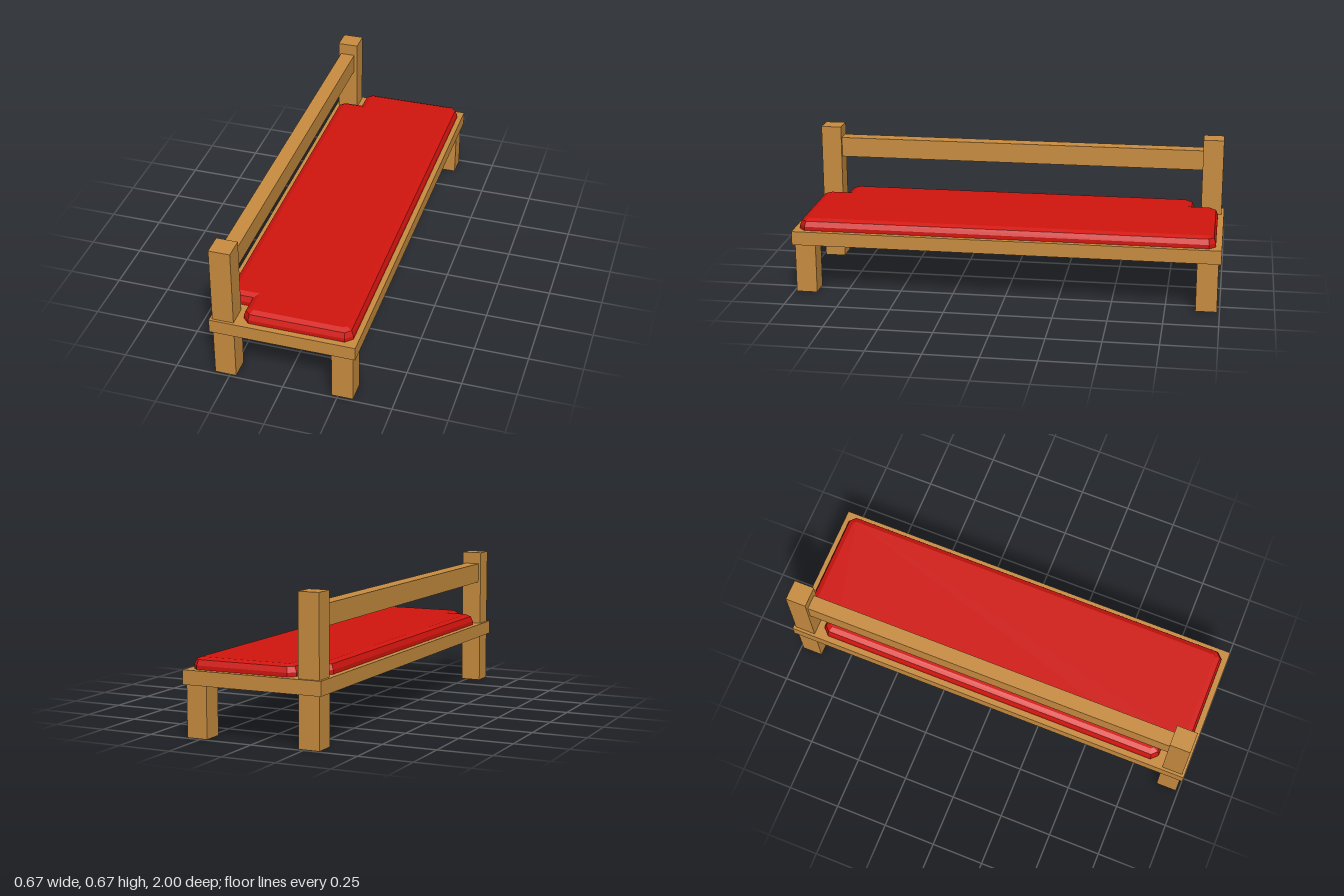
import * as THREE from 'three';

export function createModel() {
  const group = new THREE.Group();
  const wood = new THREE.MeshStandardMaterial({ color: 0xc98d40, flatShading: true });
  const fabric = new THREE.MeshStandardMaterial({ color: 0xd2150e, flatShading: true });

  // box given by its lower and upper limits on each axis
  const box = (name, [x0, x1], [y0, y1], [z0, z1]) => {
    const mesh = new THREE.Mesh(new THREE.BoxGeometry(x1 - x0, y1 - y0, z1 - z0), wood);
    mesh.position.set((x0 + x1) / 2, (y0 + y1) / 2, (z0 + z1) / 2);
    mesh.name = name;
    group.add(mesh);
  };

  // seat board
  box('seatBoard', [-0.333, 0.333], [0.235, 0.3], [-1, 1]);

  // legs, and the posts standing above the back pair
  for (const [end, z] of [['Front', [0.89, 0.988]], ['Back', [-0.988, -0.89]]]) {
    box('leftLeg' + end, [0.222, 0.32], [0, 0.235], z);
    box('rightLeg' + end, [-0.32, -0.222], [0, 0.235], z);
    box('railPost' + end, [-0.32, -0.222], [0.3, 0.668], z);
  }

  // backrest rail between the posts
  box('backRail', [-0.308, -0.238], [0.515, 0.611], [-0.89, 0.89]);

  // cushion outline: chamfered corners, notched around the posts
  const c = 0.03, right = 0.308, notch = -0.19, back = -0.305, end = 0.972, inner = 0.855;
  const half = [
    [right, end - c], [right - c, end], [notch + c, end], [notch, end - c],
    [notch, inner], [back + c, inner], [back, inner - c],
  ];
  const mirrored = half.map(([x, y]) => [x, -y]).reverse();
  const outline = new THREE.Shape([...half, ...mirrored].map(([x, y]) => new THREE.Vector2(x, y)));

  // the lower bevel is sunk into the seat board
  const bevel = 0.035;
  const cushionGeometry = new THREE.ExtrudeGeometry(outline, {
    depth: 0.022, bevelEnabled: true, bevelThickness: bevel,
    bevelSize: 0.033, bevelOffset: -0.033, bevelSegments: 2,
  });
  cushionGeometry.rotateX(-Math.PI / 2);
  const cushion = new THREE.Mesh(cushionGeometry, fabric);
  cushion.position.y = 0.353 - bevel - 0.022;
  cushion.name = 'cushion';
  group.add(cushion);

  return group;
}
